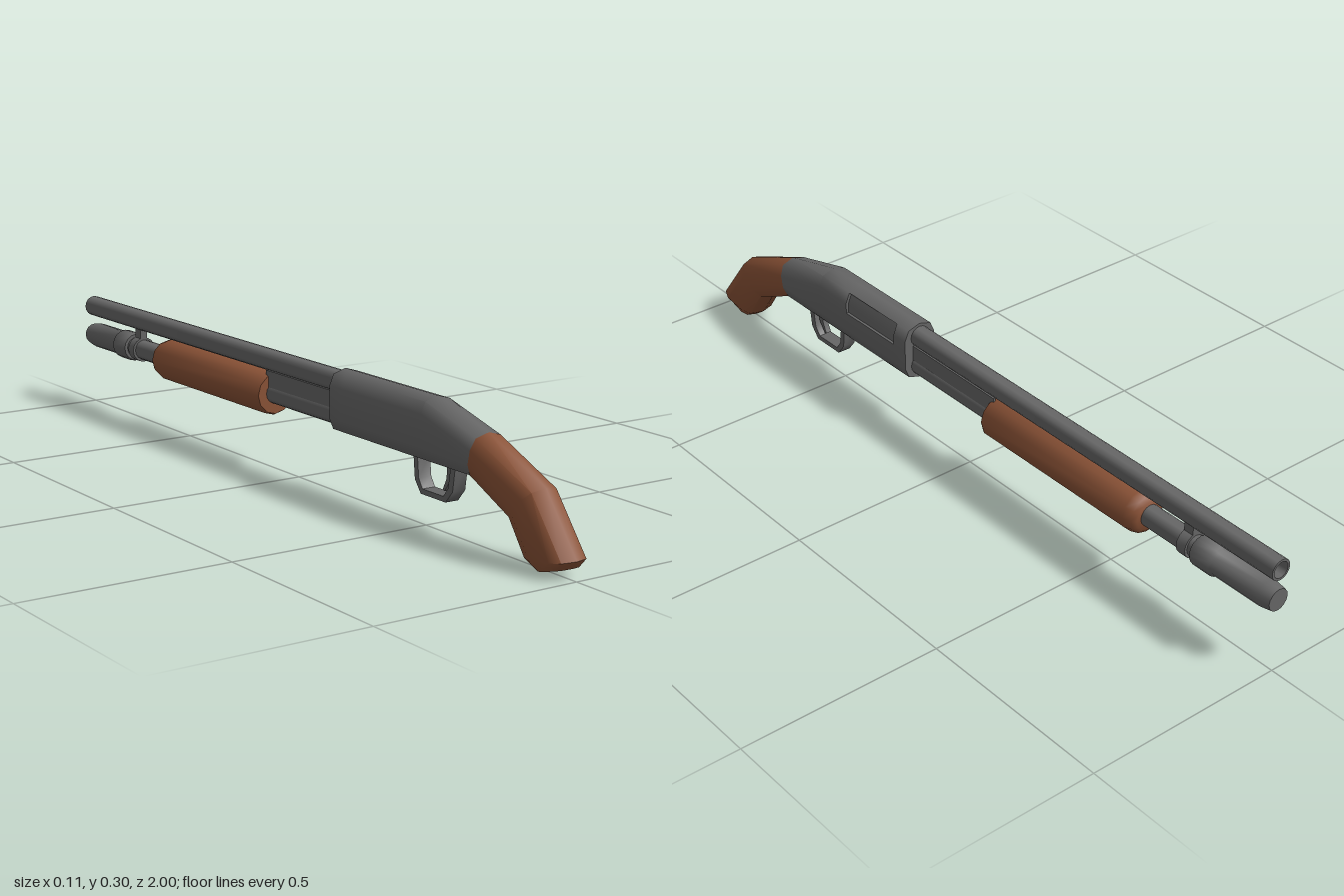
import * as THREE from 'three';
import { toCreasedNormals } from 'three/addons/utils/BufferGeometryUtils.js';

const metal = new THREE.MeshStandardMaterial({ color: 0x666666 });
const wood = new THREE.MeshStandardMaterial({ color: 0x8a5236 });

function part(name, geometry, material, y = 0, z = 0) {
  const mesh = new THREE.Mesh(toCreasedNormals(geometry, 0.9), material);
  mesh.name = name;
  mesh.position.set(0, y, z);
  return mesh;
}

// Turned part along z; profile holds [radius, z] from muzzle to rear.
function turned(profile, sides = 16) {
  const points = profile.map(([r, z]) => new THREE.Vector2(r, z));
  return new THREE.LatheGeometry(points, sides).rotateX(Math.PI / 2);
}

// Rounded slab section between a top and a bottom point, each [z, y].
// A recessed section is cut in on the +x side, for the ejection port.
function section({ top, bottom, w = 0.044, recess = false }) {
  const T = new THREE.Vector3(0, top[1], top[0]);
  const down = new THREE.Vector3(0, bottom[1], bottom[0]).sub(T);
  const L = down.length();
  down.normalize();
  const k = w / 0.044;
  const cut = recess
    ? [[0.027, 0.014], [0.037, 0.038], [0.037, 0.063]]
    : [[0.033, 0.01], [0.044, 0.036], [0.044, 0.063]];
  const side = [[0, 0], [0.033, 0.01], ...cut, [0.044, 0.063]].map(([x, d]) => [x * k, Math.min(d * k, L - 0.036 * k)]);
  const lower = [[0.044 * k, L - 0.036 * k], [0.033 * k, L - 0.01 * k], [0, L],
    [-0.033 * k, L - 0.01 * k], [-0.044 * k, L - 0.036 * k]];
  const far = [[-0.044 * k, 0.036 * k], [-0.033 * k, 0.01 * k]];
  return [...side, ...lower, ...far].map(([x, d]) => T.clone().addScaledVector(down, d).setX(x));
}

// Skin a row of sections and close both ends.
function loft(stations) {
  const rings = stations.map(section);
  const n = rings[0].length;
  const positions = [];
  const tri = (a, b, c) => {
    if (new THREE.Triangle(a, b, c).getArea() > 1e-9) for (const p of [a, b, c]) positions.push(p.x, p.y, p.z);
  };
  const centre = (ring) => ring.reduce((s, p) => s.add(p), new THREE.Vector3()).divideScalar(n);
  const first = rings[0], last = rings[rings.length - 1];
  const c0 = centre(first), c1 = centre(last);
  for (let j = 0; j < n; j++) {
    const k = (j + 1) % n;
    for (let i = 0; i < rings.length - 1; i++) {
      const a = rings[i], b = rings[i + 1];
      tri(a[j], b[j], a[k]);
      tri(a[k], b[j], b[k]);
    }
    tri(c0, first[j], first[k]);
    tri(c1, last[k], last[j]);
  }
  const g = new THREE.BufferGeometry();
  g.setAttribute('position', new THREE.Float32BufferAttribute(positions, 3));
  return g;
}

// Side outline of [z, y] points, extruded across x.
function sidePlate(outline, width) {
  const shape = new THREE.Shape(outline.map(([z, y]) => new THREE.Vector2(-z, y)));
  return new THREE.ExtrudeGeometry(shape, { depth: width, bevelEnabled: false })
    .translate(0, 0, -width / 2)
    .rotateY(Math.PI / 2);
}

export function createModel() {
  const model = new THREE.Group();
  model.name = 'shotgun';

  // Receiver with a recessed ejection port
  const body = (z, recess) => ({ top: [z, 0.3], bottom: [z, 0.152], recess });
  const receiver = loft([
    body(0.19), body(0.235), body(0.235, true), body(0.425, true), body(0.425), body(0.535),
    { top: [0.712, 0.254], bottom: [0.69, 0.152] },
  ]);

  // Bent pistol grip with a bevelled butt
  const grip = loft([
    { top: [0.712, 0.254], bottom: [0.69, 0.152] },
    { top: [0.9, 0.175], bottom: [0.815, 0.095] },
    { top: [1.0, 0.045], bottom: [0.865, 0.026] },
    { top: [0.987, 0.027], bottom: [0.9, 0.003], w: 0.03 },
  ]);
  model.add(part('receiver', receiver, metal), part('grip', grip, wood));

  // Barrel with an open bore
  model.add(part('barrel', turned([[0, -0.88], [0.02, -0.88], [0.02, -1], [0.026, -1], [0.026, 0.22]]), metal, 0.266));

  // Magazine tube, stepped end cap and clamp
  const tubeY = 0.189;
  model.add(
    part('magazineTube', turned([[0.026, -0.8], [0.026, 0.22]]), metal, tubeY),
    part('magazineCap', turned([
      [0, -1], [0.027, -1], [0.032, -0.97], [0.032, -0.835], [0.037, -0.83], [0.037, -0.777], [0.034, -0.772], [0, -0.772],
    ]), metal, tubeY),
    part('clampRing', turned([[0, -0.757], [0.032, -0.757], [0.032, -0.73], [0, -0.73]]), metal, tubeY),
    part('clampBridge', new THREE.BoxGeometry(0.02, 0.05, 0.027), metal, 0.23, -0.7435),
  );

  // Sliding fore-end and its twin action bars
  model.add(part('foreEnd', turned([
    [0, -0.615], [0.037, -0.615], [0.047, -0.606], [0.053, -0.585], [0.053, -0.108], [0.049, -0.1], [0, -0.1],
  ], 12), wood, 0.187));
  for (const s of [-1, 1]) {
    const bar = part('actionBar', new THREE.BoxGeometry(0.007, 0.04, 0.34), metal, 0.225, 0.06);
    bar.position.x = s * 0.017;
    model.add(bar);
  }

  // Trigger guard loop: outer edge, then back along the inner edge
  const guard = sidePlate([
    [0.622, 0.16], [0.614, 0.105], [0.59, 0.077], [0.502, 0.077], [0.48, 0.105], [0.474, 0.16],
    [0.488, 0.16], [0.494, 0.11], [0.508, 0.089], [0.582, 0.089], [0.598, 0.11], [0.606, 0.16],
  ], 0.034);
  const trigger = sidePlate([
    [0.598, 0.16], [0.594, 0.125], [0.573, 0.097], [0.567, 0.1], [0.58, 0.127], [0.58, 0.16],
  ], 0.014);
  model.add(part('triggerGuard', guard, metal), part('trigger', trigger, metal));

  return model;
}
